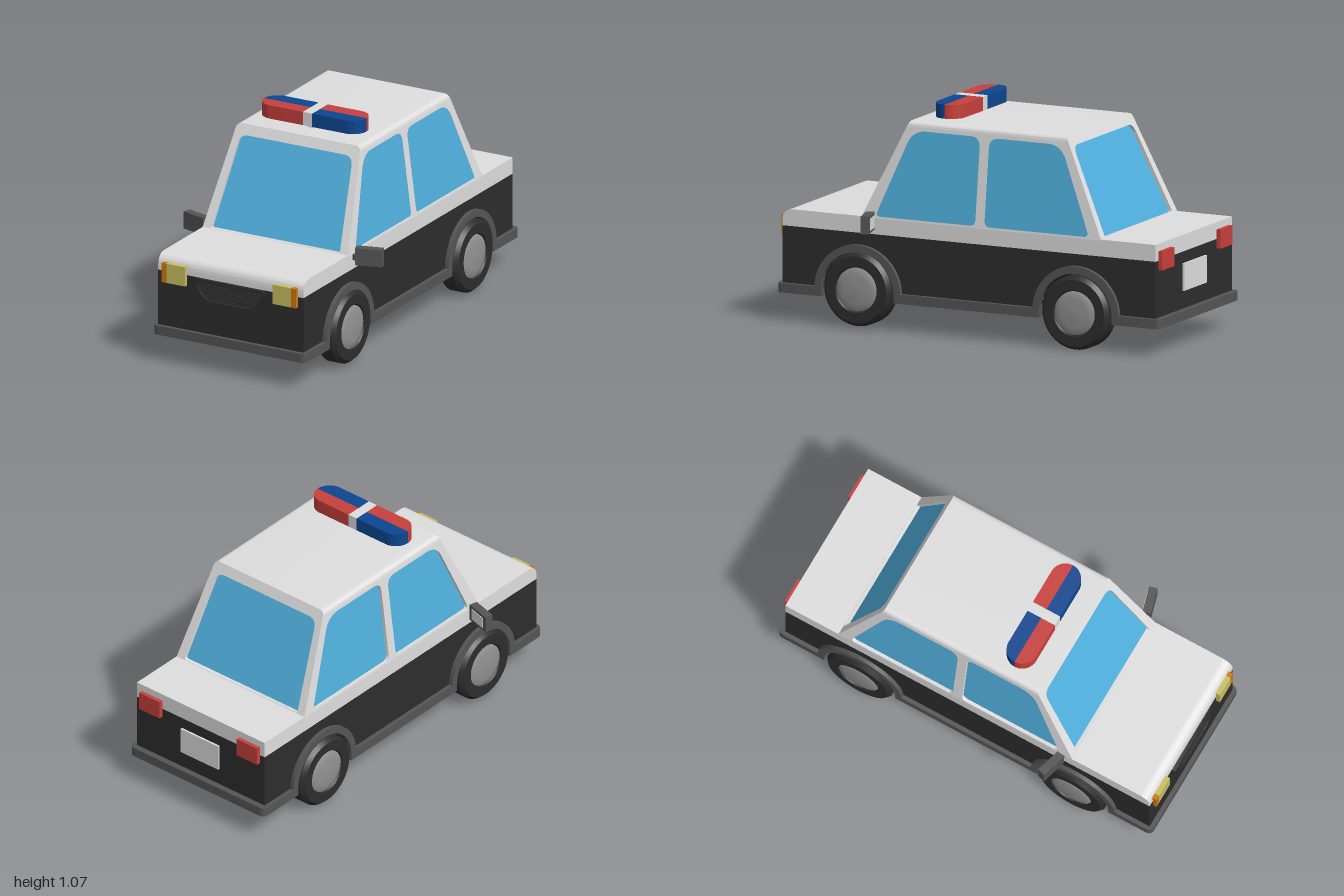
import * as THREE from 'three';
import { toCreasedNormals } from 'three/addons/utils/BufferGeometryUtils.js';

const mat = (name, color) => Object.assign(new THREE.MeshStandardMaterial({ color }), { name });

export function createModel() {
  const white = mat('white paint', 0xdedede), black = mat('black paint', 0x2d2d2d);
  const grey = mat('dark grey trim', 0x555555), glass = mat('blue glass', 0x50b0de);
  const yellow = mat('headlight yellow', 0xc9bf60), orange = mat('indicator orange', 0xcb7a10);
  const red = mat('red lens', 0xc8403c), blue = mat('blue lens', 0x0c4690), hubGrey = mat('hub grey', 0x929292);

  const car = new THREE.Group();
  car.name = 'patrolCar';

  const add = (name, geo, material, parent = car) => {
    const m = new THREE.Mesh(geo, material);
    m.name = name;
    parent.add(m);
    return m;
  };
  const box = (name, material, [x0, x1], [y0, y1], [z0, z1], parent) => {
    const m = add(name, new THREE.BoxGeometry(x1 - x0, y1 - y0, z1 - z0), material, parent);
    m.position.set((x0 + x1) / 2, (y0 + y1) / 2, (z0 + z1) / 2);
    return m;
  };
  // polygon of [x, y, cornerRadius]
  const poly = (pts, Type = THREE.Shape) => {
    const s = new Type();
    pts.forEach(([x, y, r = 0], i) => {
      const p = new THREE.Vector2(x, y), n = pts.length;
      const toward = (q) => p.clone().add(new THREE.Vector2(q[0] - x, q[1] - y).setLength(r));
      const a = toward(pts[(i + n - 1) % n]), b = toward(pts[(i + 1) % n]);
      if (i === 0) s.moveTo(a.x, a.y); else s.lineTo(a.x, a.y);
      if (r) s.quadraticCurveTo(x, y, b.x, b.y);
    });
    s.closePath();
    return s;
  };
  const extrude = (shape, depth) =>
    new THREE.ExtrudeGeometry(shape, { depth, bevelEnabled: false, curveSegments: 16 });
  const smooth = (g) => toCreasedNormals(g, 0.6);
  // side profiles use u = -z and run along x from x0
  const acrossX = (shape, x0, width) => smooth(extrude(shape, width).rotateY(Math.PI / 2).translate(x0, 0, 0));
  // plan shapes use v = -z and run upward from y0
  const upward = (shape, y0, height) => smooth(extrude(shape, height).rotateX(-Math.PI / 2).translate(0, y0, 0));

  const wheels = [{ name: 'front', z: 0.578, y: 0.19 }, { name: 'rear', z: -0.562, y: 0.18 }];
  const archY = 0.175, archIn = 0.19, archOut = 0.225;

  // Lower body with open wheel tunnels
  const lower = new THREE.Shape();
  lower.moveTo(-0.98, archY);
  for (const w of wheels) {
    lower.lineTo(-w.z - archIn, archY);
    lower.absarc(-w.z, archY, archIn, Math.PI, 0, true);
  }
  lower.lineTo(0.97, archY);
  lower.lineTo(0.97, 0.455);
  lower.lineTo(-0.98, 0.455);
  add('lowerBody', acrossX(lower, -0.39, 0.78), black);
  box('floor', black, [-0.38, 0.38], [0.145, 0.18], [-0.37, 0.386]);

  // Hood, shoulders and trunk
  add('upperBody', acrossX(poly([[-0.98, 0.455], [0.97, 0.455], [0.97, 0.535], [-0.98, 0.535, 0.06]]), -0.39, 0.78), white);

  // Bumpers and sills
  const bumper = (zIn) => poly([[-0.41, zIn], [0.41, zIn], [0.41, Math.sign(zIn), 0.03], [-0.41, Math.sign(zIn), 0.03]]);
  add('frontBumper', upward(bumper(-0.768), 0.14, 0.045), grey);
  add('rearBumper', upward(bumper(0.752), 0.14, 0.045), grey);
  for (const s of [-1, 1]) box('sill', grey, [s * 0.395 - 0.015, s * 0.395 + 0.015], [0.14, 0.185], [-0.372, 0.388]);

  // Cabin: slopes of the sides, windshield and rear window
  const base = 0.535, sSide = -0.13, sFront = -0.478, sBack = 0.4565;
  const hw = (y) => 0.39 + sSide * (y - base);
  const zf = (y) => 0.565 + sFront * (y - base);
  const zb = (y) => -0.685 + sBack * (y - base);
  const V = (x, y, z) => new THREE.Vector3(x, y, z);
  const cabin = new THREE.Group();
  cabin.name = 'cabin';
  car.add(cabin);

  // Leaning panel with openings, its outer face through `out` at the base
  const panel = (name, outline, holes, u, out, dist, lean) => {
    const shape = poly(outline);
    shape.holes = holes.map((h) => poly(h, THREE.Path));
    const m = new THREE.Matrix4().makeBasis(u, V(0, 1, 0).addScaledVector(out, lean), out);
    m.setPosition(out.clone().multiplyScalar(dist - lean * base));
    add(name, smooth(extrude(shape, 0.03).translate(0, 0, -0.03).applyMatrix4(m)), white, cabin);
  };
  const y0 = 0.53, y1 = 0.97;
  const ends = [[-hw(y0), y0], [hw(y0), y0], [hw(y1), y1], [-hw(y1), y1]];
  const screen = [[-0.345, 0.537, 0.01], [0.345, 0.537, 0.01], [0.302, 0.948, 0.045], [-0.302, 0.948, 0.045]];
  panel('windshieldFrame', ends, [screen], V(1, 0, 0), V(0, 0, 1), 0.565, sFront);
  panel('rearWindowFrame', ends, [screen], V(-1, 0, 0), V(0, 0, -1), 0.685, -sBack);
  const side = [[zb(y0), y0], [zf(y0), y0], [zf(y1), y1], [zb(y1), y1]];
  const doors = [
    [[-0.027, 0.54, 0.03], [0.495, 0.54, 0.03], [0.325, 0.953, 0.07], [-0.027, 0.953, 0.05]],
    [[-0.622, 0.54, 0.03], [-0.075, 0.54, 0.03], [-0.075, 0.953, 0.05], [-0.45, 0.953, 0.07]],
  ];
  for (const s of [-1, 1]) {
    const turn = (pts) => pts.map(([z, y, r]) => [-s * z, y, r]);
    panel(s > 0 ? 'leftDoorFrame' : 'rightDoorFrame', turn(side), doors.map(turn), V(0, 0, -s), V(s, 0, 0), 0.39, sSide);
  }

  // Move z so that the ends of a unit-deep block follow the two screens
  const slopeEnds = (geo, inset) => {
    const p = geo.attributes.position;
    for (let i = 0; i < p.count; i++) {
      const y = p.getY(i);
      p.setZ(i, p.getZ(i) > 0.5 ? zf(y) - inset : zb(y) + inset);
    }
    geo.computeVertexNormals();
    return geo;
  };
  const section = (yLow, yHigh, inset, r) => poly([
    [-hw(yLow) + inset, yLow], [hw(yLow) - inset, yLow], [hw(yHigh) - inset, yHigh, r], [-hw(yHigh) + inset, yHigh, r]]);
  add('roof', smooth(slopeEnds(extrude(section(0.965, 0.995, 0, 0.025), 1), 0)), white, cabin);
  add('windows', slopeEnds(extrude(section(0.53, 0.97, 0.016, 0), 1), 0.018), glass, cabin);

  // Wheels, arches, axles
  const tyreProfile = [[0, 0.32], [0.155, 0.32], [0.175, 0.335], [0.175, 0.405], [0.158, 0.425], [0.11, 0.425], [0.105, 0.415], [0, 0.415]]
    .map(([r, x]) => new THREE.Vector2(r, x));
  const hubProfile = [[0.105, 0.41], [0.103, 0.42], [0.07, 0.427], [0, 0.43]].map(([r, x]) => new THREE.Vector2(r, x));
  for (const w of wheels) {
    const arch = new THREE.Shape();
    arch.moveTo(-w.z - archOut, 0.14);
    arch.lineTo(-w.z - archOut, archY);
    arch.absarc(-w.z, archY, archOut, Math.PI, 0, true);
    arch.lineTo(-w.z + archOut, 0.14);
    arch.lineTo(-w.z + archIn, 0.14);
    arch.absarc(-w.z, archY, archIn, 0, Math.PI, false);
    arch.lineTo(-w.z - archIn, 0.14);
    for (const s of [-1, 1]) {
      add(w.name + 'Arch', acrossX(arch, s > 0 ? 0.36 : -0.41, 0.05), grey);
      const wheel = new THREE.Group();
      wheel.name = w.name + 'Wheel';
      wheel.position.set(0, w.y, w.z);
      wheel.rotation.z = -s * Math.PI / 2;
      car.add(wheel);
      add('tyre', toCreasedNormals(new THREE.LatheGeometry(tyreProfile, 48), 0.5), black, wheel);
      add('hub', new THREE.LatheGeometry(hubProfile, 36), hubGrey, wheel);
    }
    for (const [name, r, len] of [['Axle', 0.03, 0.66], ['AxleHousing', 0.055, 0.24]]) {
      const a = add(w.name + name, new THREE.CylinderGeometry(r, r, len, 24), black);
      a.rotation.z = Math.PI / 2;
      a.position.set(0, w.y, w.z);
    }
  }

  // Lamps and mirrors, one per side
  for (const s of [-1, 1]) {
    const span = (a, b) => (s > 0 ? [a, b] : [-b, -a]);
    box('headlight', yellow, span(0.235, 0.335), [0.405, 0.5], [0.96, 1]);
    box('indicator', orange, span(0.335, 0.36), [0.405, 0.5], [0.96, 1]);
    box('tailLight', red, span(0.235, 0.36), [0.41, 0.5], [-0.99, -0.96]);
    box('mirrorArm', grey, span(0.37, 0.42), [0.5, 0.527], [0.5, 0.525]);
    const mirror = new THREE.Group();
    mirror.name = 'mirror';
    mirror.position.set(s * 0.465, 0.522, 0.495);
    mirror.rotation.y = s * 0.27;
    car.add(mirror);
    box('mirrorHousing', grey, [-0.065, 0.065], [-0.042, 0.042], [-0.02, 0.02], mirror);
    box('mirrorGlass', white, [-0.047, 0.047], [-0.028, 0.028], [-0.023, -0.019], mirror);
  }

  // Grille and rear plate
  const grille = (k) => [[-0.185 + k, 0.455 - k, 0.015], [-0.185 + k, 0.41, 0.03], [-0.125, 0.343 + k, 0.04],
    [0.125, 0.343 + k, 0.04], [0.185 - k, 0.41, 0.03], [0.185 - k, 0.455 - k, 0.015]];
  const rim = poly(grille(0));
  rim.holes.push(poly(grille(0.01), THREE.Path));
  add('grilleRim', smooth(extrude(rim, 0.025).translate(0, 0, 0.972)), black);
  for (let i = 0; i < 7; i++) {
    const y = 0.36 + i * 0.013, half = Math.min(0.175, 0.128 + (y - 0.36) * 0.95);
    box('grilleSlat', black, [-half, half], [y - 0.003, y + 0.003], [0.975, 0.989]);
  }
  box('rearPlate', white, [-0.115, 0.115], [0.27, 0.4], [-0.98, -0.965]);

  // Roof light bar: four coloured quarters around a white centre
  const barZ = 0.192, barR = 0.073;
  for (const sx of [-1, 1]) for (const sz of [-1, 1]) {
    const q = new THREE.Shape();
    q.moveTo(sx * 0.025, 0);
    q.lineTo(sx * 0.275, 0);
    q.absarc(sx * (0.275 - barR), 0, barR, sx > 0 ? 0 : Math.PI, -sz * Math.PI / 2 + (sx < 0 && sz > 0 ? 2 * Math.PI : 0),
      sx * sz > 0);
    q.lineTo(sx * 0.025, -sz * barR);
    q.closePath();
    add('lightBarLens', upward(q, 1.01, 0.066).translate(0, 0, barZ), sx * sz > 0 ? blue : red);
  }
  box('lightBarCentre', white, [-0.025, 0.025], [1.01, 1.076], [barZ - barR, barZ + barR]);
  box('lightBarMount', white, [-0.016, 0.016], [0.99, 1.012], [0.145, 0.24]);

  return car;
}
